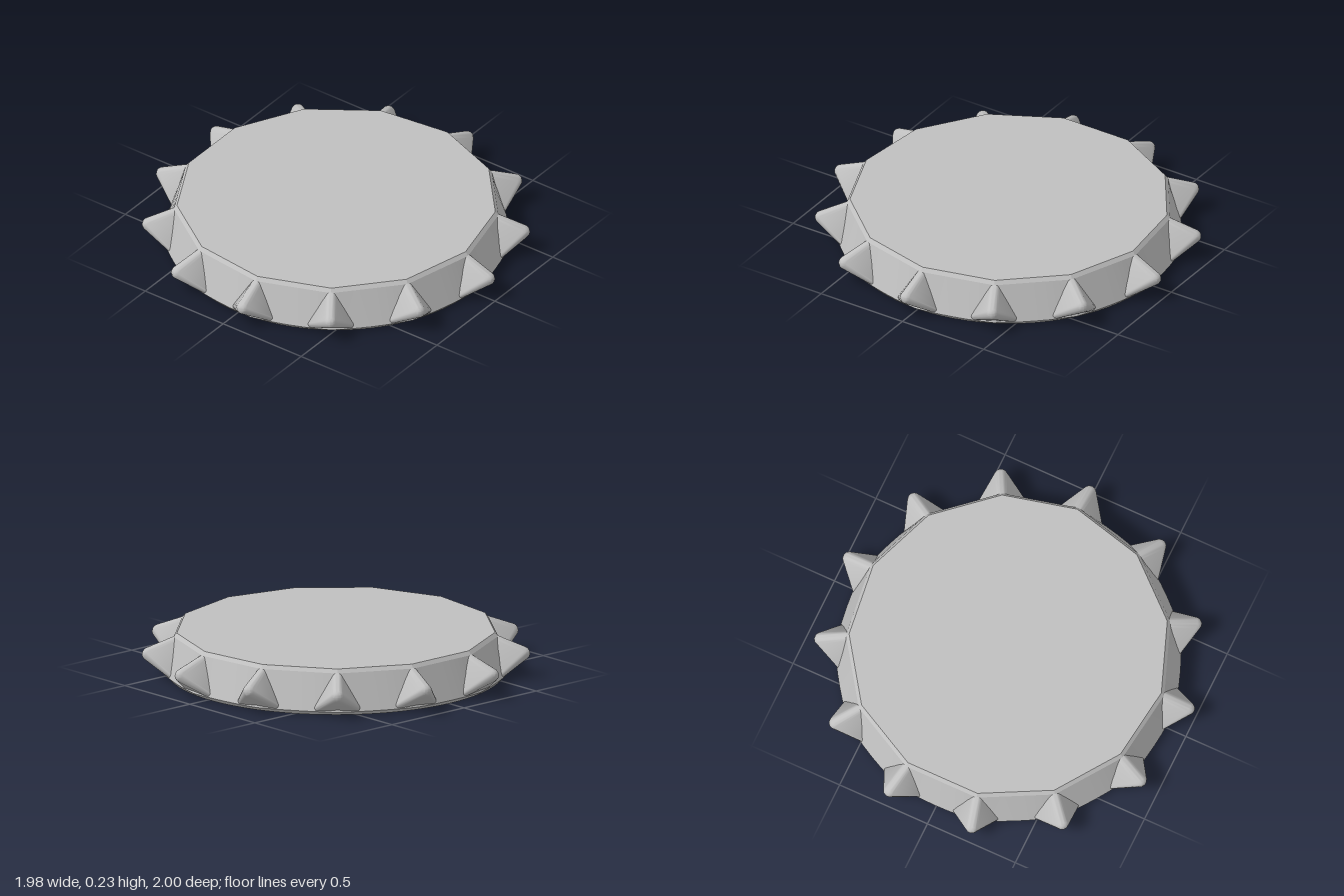
import * as THREE from 'three';
import { toCreasedNormals } from 'three/addons/utils/BufferGeometryUtils.js';
import { ConvexGeometry } from 'three/addons/geometries/ConvexGeometry.js';

const TEETH = 13;
const STEP = (Math.PI * 2) / TEETH;

// Tapered disc: round at the base, turning into a 13-sided polygon at the top
function makeBody() {
  // [edge distance, height, how polygonal]
  const rows = [
    [0, 0, 0], [0.87, 0, 0], [0.885, 0.02, 0.5],
    [0.818, 0.212, 1], [0.802, 0.232, 1], [0, 0.232, 1],
  ];
  const segments = TEETH * 6;
  const geo = new THREE.LatheGeometry(rows.map(([r, y]) => new THREE.Vector2(r, y)), segments, Math.PI / 2);
  const pos = geo.attributes.position;
  for (let i = 0; i < pos.count; i++) {
    const k = rows[i % rows.length][2];
    const x = pos.getX(i), z = pos.getZ(i);
    const a = Math.atan2(z, x) + Math.PI * 2 + 1e-7;
    const off = (a % STEP) - STEP / 2;
    const f = 1 + k * (1 / Math.cos(off) - 1);
    pos.setXYZ(i, x * f, pos.getY(i), z * f);
  }
  return toCreasedNormals(geo, 0.3);
}

// Rounded three-sided spike pointing along +x: hull around four small balls
function makeTooth() {
  const balls = [
    [0.795, 0.203, 0, 0.027], // upper ridge, at the rim
    [0.865, 0.035, 0.1, 0.02], // lower corners
    [0.865, 0.035, -0.1, 0.02],
    [0.972, 0.125, 0, 0.035], // tip
  ];
  const points = [];
  for (const [x, y, z, r] of balls) {
    const p = new THREE.SphereGeometry(r, 12, 8).attributes.position;
    for (let i = 0; i < p.count; i++) {
      points.push(new THREE.Vector3().fromBufferAttribute(p, i).add(new THREE.Vector3(x, y, z)));
    }
  }
  return toCreasedNormals(new ConvexGeometry(points), 0.6);
}

export function createModel() {
  const group = new THREE.Group();
  group.name = 'toothedDisc';
  const grey = new THREE.MeshStandardMaterial({ color: 0xc0c0c0 });
  grey.name = 'grey';

  const body = new THREE.Mesh(makeBody(), grey);
  body.name = 'disc';
  group.add(body);

  // One tooth on every corner of the disc
  const toothGeo = makeTooth();
  for (let i = 0; i < TEETH; i++) {
    const tooth = new THREE.Mesh(toothGeo, grey);
    tooth.name = 'tooth' + (i + 1);
    tooth.rotation.y = i * STEP;
    group.add(tooth);
  }

  // Centre the odd number of teeth between both sides
  group.children.forEach((part) => { part.position.x = -0.014; });
  return group;
}
